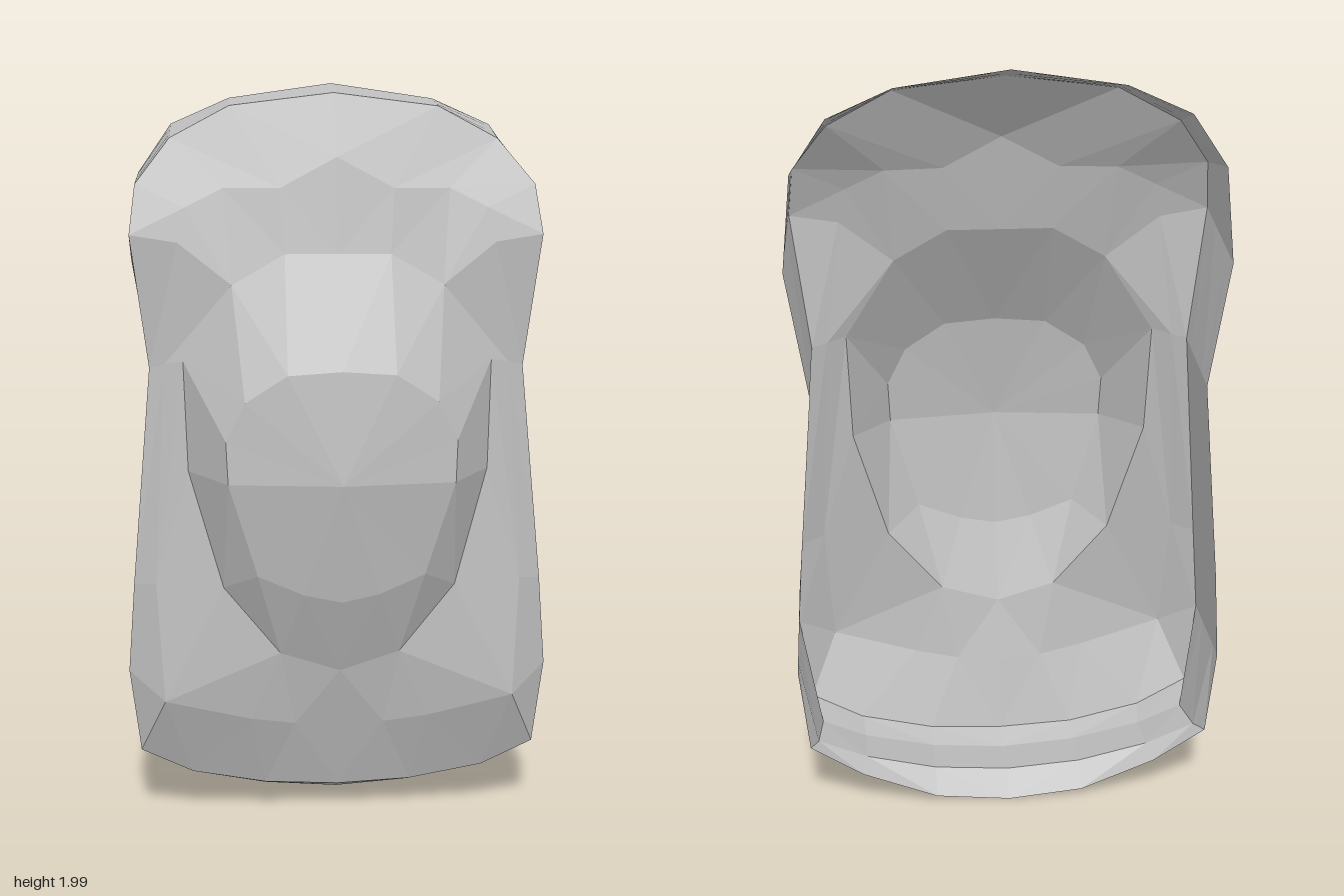
import * as THREE from 'three';

// Each ring is a half outline (x, y, z), running from top centre round the +x side to bottom centre.
const backRim = [
  [0, 2], [.28, 1.96], [.44, 1.89], [.53, 1.76], [.555, 1.52], [.503, 1.2],
  [.55, .67], [.565, .43], [.54, .2], [.4, .11], [.2, .03], [0, .01],
].map(([x, y]) => [x, y, -.25]);

const frontEdge = [
  [0, 1.97, -.13], [.28, 1.935, -.11], [.44, 1.85, -.1], [.53, 1.73, -.02], [.545, 1.6, .03], [.5, 1.25, .01],
  [.55, .67, .05], [.568, .43, .05], [.54, .2, .04], [.4, .13, .03], [.2, .09, .02], [0, .08, .02],
];

const shoulder = [
  [0, 1.8, 0], [.15, 1.72, .01], [.3, 1.72, -.01], [.4, 1.67, .01], [.42, 1.58, .03], [.46, 1.26, .02],
  [.49, .68, .08], [.47, .36, .115], [.47, .36, .115], [.24, .3, .095], [.12, .28, .08], [0, .27, .073],
];

const hoodBase = [
  [0, 1.55, .045], [.14, 1.55, .045], [.28, 1.47, .05], [.28, 1.47, .05], [.28, 1.47, .05], [.41, 1.27, .04],
  [.4, .98, .06], [.31, .67, .1], [.16, .49, .115], [.16, .49, .115], [0, .44, .12], [0, .44, .12],
];

const hoodRim = [
  [0, 1.26, .21], [.14, 1.25, .205], [.14, 1.25, .205], [.25, 1.18, .2], [.25, 1.18, .2], [.3, 1.08, .2],
  [.295, .97, .21], [.22, .72, .185], [.22, .72, .185], [.1, .67, .195], [0, .65, .2], [0, .65, .2],
];

const crown = hoodRim.map(() => [0, .97, .25]);

// Ring between the back rim and front edge; its last four points form the folded bottom lip
function wallRing(t, lip) {
  const side = backRim.slice(0, 8).map((p, i) => p.map((v, k) => v + (frontEdge[i][k] - v) * t));
  return [...side, ...lip];
}
const lipInner = wallRing(.2, [[.52, .185, -.19], [.39, .13, -.19], [.2, .085, -.19], [0, .07, -.19]]);
const lipOuter = wallRing(.7, [[.51, .165, -.05], [.39, .11, -.045], [.2, .065, -.04], [0, .05, -.04]]);

// Joins successive rings with flat facets and mirrors them across x = 0
function loft(name, rings, material) {
  const pos = [];
  const same = (p, q) => p.every((v, i) => Math.abs(v - q[i]) < 1e-6);
  const mirror = ([x, y, z]) => [-x, y, z];
  const tri = (a, b, c) => {
    if (same(a, b) || same(b, c) || same(a, c)) return;
    pos.push(...a, ...b, ...c, ...mirror(a), ...mirror(c), ...mirror(b));
  };
  for (let r = 0; r < rings.length - 1; r++) {
    const outer = rings[r], inner = rings[r + 1];
    for (let c = 0; c < outer.length - 1; c++) {
      tri(outer[c], inner[c], outer[c + 1]);
      tri(outer[c + 1], inner[c], inner[c + 1]);
    }
  }
  const geometry = new THREE.BufferGeometry();
  geometry.setAttribute('position', new THREE.Float32BufferAttribute(pos, 3));
  geometry.computeVertexNormals();
  const mesh = new THREE.Mesh(geometry, material);
  mesh.name = name;
  return mesh;
}

export function createModel() {
  const grey = new THREE.MeshStandardMaterial({ color: 0xbcbcbc, flatShading: true, side: THREE.DoubleSide });
  grey.name = 'light grey';

  const model = new THREE.Group();
  model.name = 'moulded shell';
  model.add(
    loft('sideWall', [backRim, lipInner, lipOuter, frontEdge], grey),
    loft('frontShell', [frontEdge, shoulder, hoodBase], grey),
    loft('raisedHood', [hoodBase, hoodRim, crown], grey),
  );
  return model;
}
